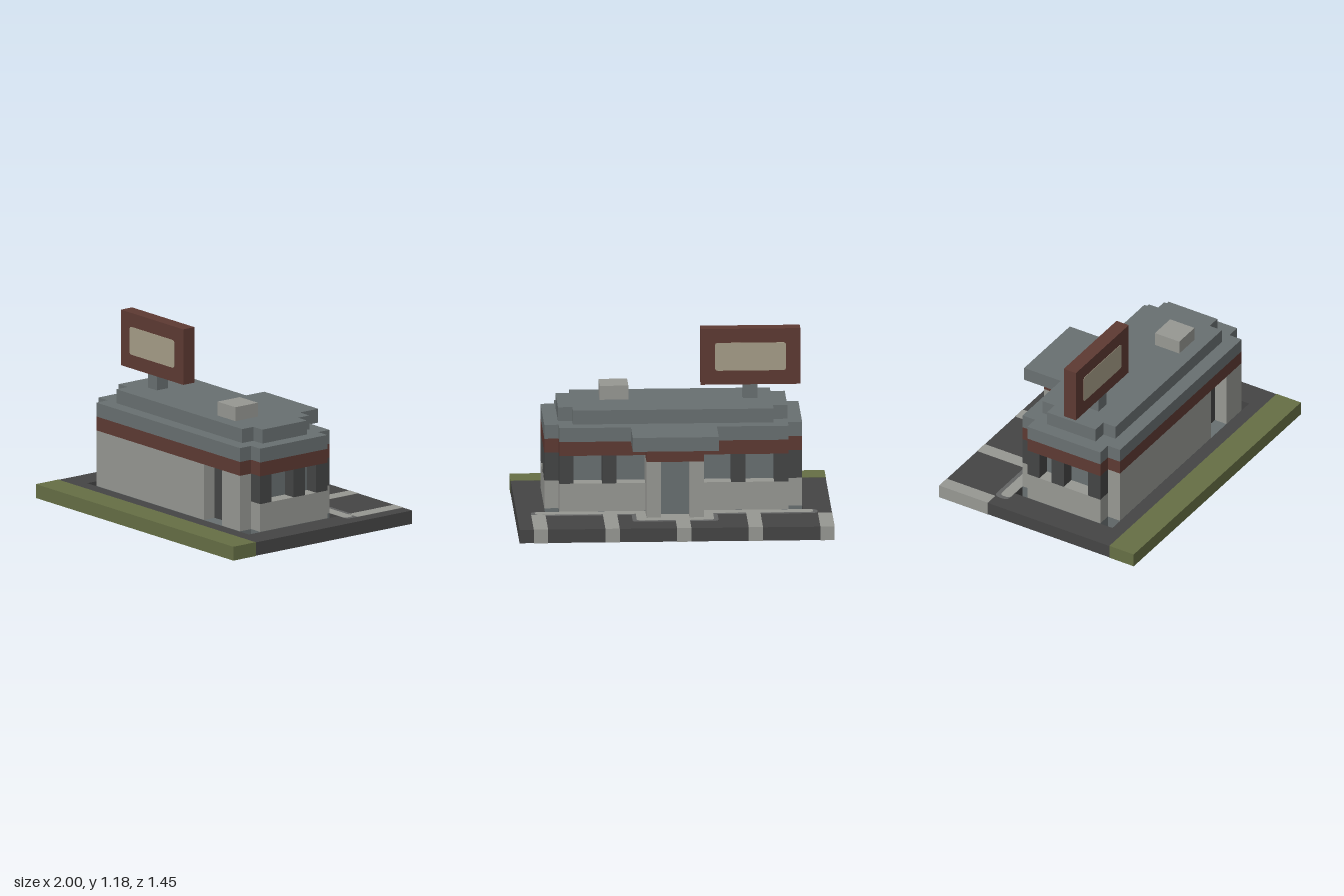
import * as THREE from 'three';

const mat = (name, color) => {
  const m = new THREE.MeshStandardMaterial({ color });
  m.name = name;
  return m;
};

export function createModel() {
  const grass = mat('grass green', 0x666f45);
  const asphalt = mat('asphalt', 0x454545);
  const wall = mat('light grey wall', 0x979893);
  const slate = mat('slate grey', 0x697071);
  const kerbGrey = mat('kerb grey', 0x636464);
  const dark = mat('dark frame', 0x444545);
  const brown = mat('red brown', 0x5e3a33);
  const cream = mat('cream', 0xa69e88);

  // Everything is laid out on a block grid, 11 blocks to one unit
  const root = new THREE.Group();
  root.name = 'roadsideBuilding';
  const blocks = new THREE.Group();
  blocks.name = 'blocks';
  blocks.scale.setScalar(1 / 11);
  root.add(blocks);

  const add = (name, geometry, material) => {
    const mesh = new THREE.Mesh(geometry, material);
    mesh.name = name;
    blocks.add(mesh);
    return mesh;
  };
  const box = (name, material, x0, x1, y0, y1, z0, z1) =>
    add(name, new THREE.BoxGeometry(x1 - x0, y1 - y0, z1 - z0), material)
      .position.set((x0 + x1) / 2, (y0 + y1) / 2, (z0 + z1) / 2);

  // Ground-plan shape raised from y0 to y1
  const slab = (name, material, shape, y0, y1) => {
    const g = new THREE.ExtrudeGeometry(shape, { depth: y1 - y0, bevelEnabled: false, curveSegments: 5 });
    g.rotateX(-Math.PI / 2);
    g.translate(0, y0, 0);
    return add(name, g, material);
  };
  const plan = (pts) => new THREE.Shape(pts.map(([x, z]) => new THREE.Vector2(x, -z)));
  const notched = (w, z0, z1) => plan([
    [-w + 1, z1], [w - 1, z1], [w - 1, z1 - 1], [w, z1 - 1], [w, z0 + 1], [w - 1, z0 + 1],
    [w - 1, z0], [-w + 1, z0], [-w + 1, z0 + 1], [-w, z0 + 1], [-w, z1 - 1], [-w + 1, z1 - 1],
  ]);
  const rounded = (x0, x1, y0, y1, r) => {
    const s = new THREE.Shape();
    s.moveTo(x0 + r, y0);
    s.lineTo(x1 - r, y0);
    s.quadraticCurveTo(x1, y0, x1, y0 + r);
    s.lineTo(x1, y1 - r);
    s.quadraticCurveTo(x1, y1, x1 - r, y1);
    s.lineTo(x0 + r, y1);
    s.quadraticCurveTo(x0, y1, x0, y1 - r);
    s.lineTo(x0, y0 + r);
    s.quadraticCurveTo(x0, y0, x0 + r, y0);
    return s;
  };

  // Ground: the lot is cut out around the notched floor, leaving open corners
  const lot = plan([[-10.99, 6], [10.99, 6], [10.99, -7.99], [-10.99, -7.99]]);
  lot.holes.push(plan([[-9, 5], [-9, -3], [9, -3], [9, 5]]));
  slab('lot', asphalt, lot, 0.02, 0.98);
  slab('floor', slate, notched(9, -3, 5), 0, 1);
  box('lawn', grass, -11, 11, 0, 1, 6, 8);

  // Kerb with a lighter walkway and parking lines
  slab('kerb', kerbGrey, rounded(-10, 10, 3, 4.12, 0.45), 0.01, 0.99);
  slab('walkway', wall, rounded(-9.7, 9.7, 3.02, 3.82, 0.3), 0, 1);
  slab('entranceKerb', kerbGrey, rounded(-3, 3, 3.02, 6, 0.3), 0.01, 0.99);
  slab('entranceWalk', wall, rounded(-2.7, 2.7, 3.02, 5.7, 0.3), 0, 1);
  for (const [x, end] of [[-11, -4], [-6, -3.7], [-1, -5.6], [4, -3.7], [9, -3.9]])
    box('parkingLine', wall, x, x + 1, 0.003, 0.997, -8, end);

  // Glazed core behind the openings
  box('glazing', slate, -8, 8, 1, 5, -2, 4);

  // Front wall with a recessed door
  box('frontWall', wall, -8, 4, 1, 5, 4, 5);
  box('frontWall', wall, 6, 8, 1, 5, 4, 5);
  box('frontDoor', dark, 4, 6, 1, 5, 4, 4.05);

  // Low walls and window posts, mirrored left and right
  for (const s of [-1, 1]) {
    const side = (name, material, a, b, y0, y1, z0, z1) =>
      box(name, material, Math.min(s * a, s * b), Math.max(s * a, s * b), y0, y1, z0, z1);
    side('sideLowWall', wall, 8, 9, 1, 3, -2, 4);
    side('backLowWall', wall, 2, 8, 1, 3, -3, -2);
    for (const z of [-2, 0, 3]) side('sideWindowPost', dark, 8, 9, 3, 5, z, z + 1);
    for (const x of [4, 7]) side('backWindowPost', dark, x, x + 1, 3, 5, -3, -2);
    side('entrancePillar', wall, 1, 2, 1, 5, -5, -2);
  }
  box('entranceDoor', slate, -1, 1, 1, 5, -4, -2);

  // Band, stepped roof and entrance canopy
  slab('band', brown, notched(9, -3, 5), 5, 6);
  box('entranceBand', brown, -2, 2, 5, 6, -5, -3);
  slab('lowerRoof', slate, notched(9, -3, 5), 6, 7);
  box('canopy', slate, -3, 3, 6, 7, -6, -3);
  slab('upperRoof', slate, notched(8, -2, 4), 7, 8);
  box('roofVent', wall, 3, 5, 8, 9, 1, 3);

  // Sign board on a post, with a blank panel on both faces
  box('signPost', slate, -6, -5, 8, 9, 1, 2);
  box('signBoard', brown, -9, -2.05, 9, 13, 1, 2);
  for (const z of [0.97, 2]) {
    const g = new THREE.ExtrudeGeometry(rounded(-8, -3.05, 10, 12, 0.2),
      { depth: 0.03, bevelEnabled: false, curveSegments: 5 });
    add('signPanel', g, cream).position.z = z;
  }
  return root;
}
